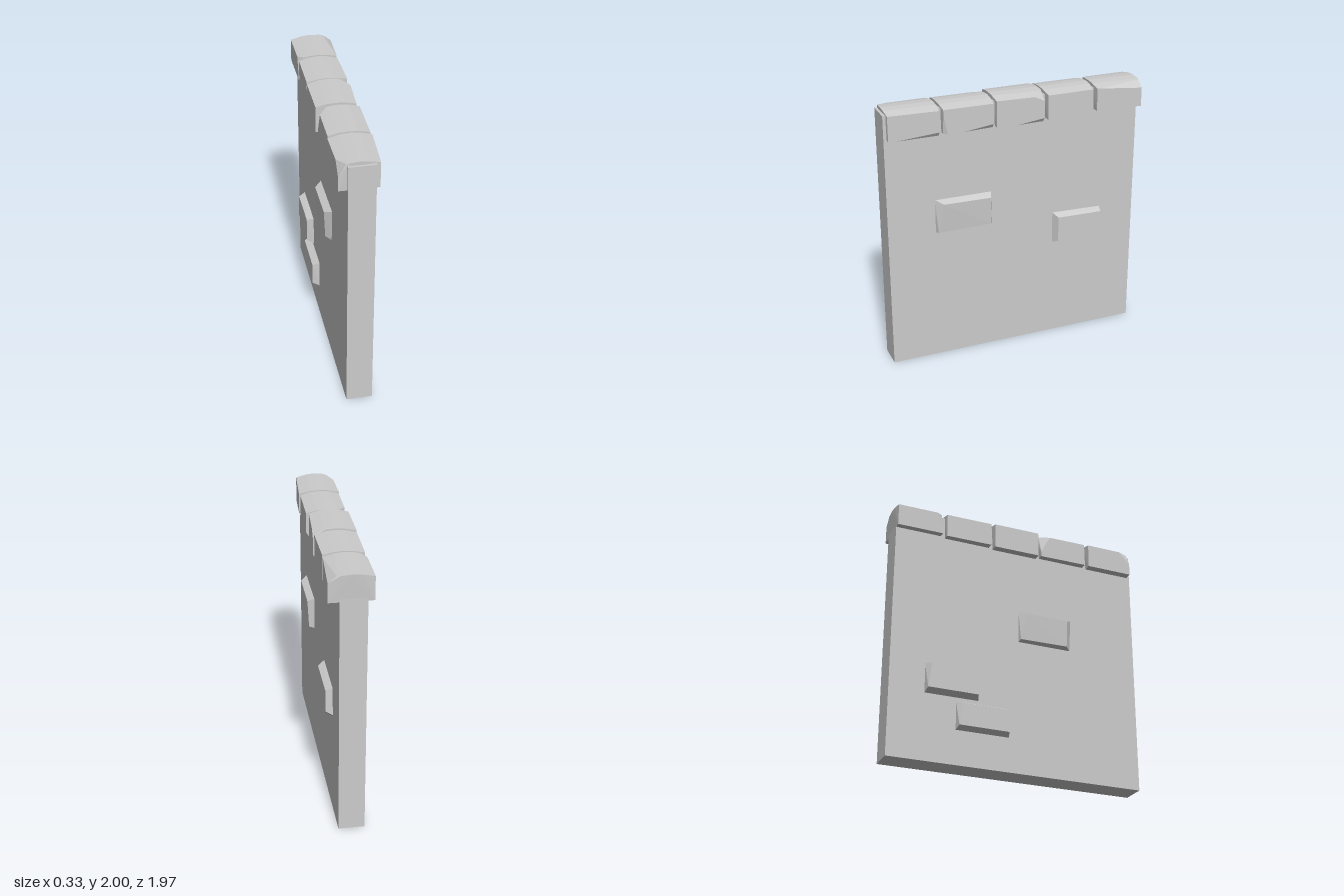
import * as THREE from 'three';
import { ConvexGeometry } from 'three/addons/geometries/ConvexGeometry.js';

const material = new THREE.MeshStandardMaterial({ color: 0xcccccc, flatShading: true });

function hullMesh(name, points) {
  const mesh = new THREE.Mesh(new ConvexGeometry(points), material);
  mesh.name = name;
  return mesh;
}

// Coping stone: a block with a gently arched top; chipped corners are replaced
// by three points, one along each edge. z, left and right are [back, front] values.
function copingStone({ z, left, right, bottom, top, chips = [] }) {
  const points = [];
  [0, 1].forEach((end) => {
    const sz = end ? 1 : -1;
    const mid = (left[end] + right[end]) / 2;
    const half = (right[end] - left[end]) / 2;
    const arch = (x) => top - 0.024 * ((x - mid) / half) ** 2;
    for (const t of [-0.45, 0, 0.45]) {
      const x = mid + half * t;
      points.push(new THREE.Vector3(x, arch(x), z[end] + sz * 0.008 * (1 - t * t)));
    }
    for (const sx of [-1, 1]) for (const sy of [-1, 1]) {
      const x = mid + sx * half;
      const y = sy > 0 ? arch(x) : bottom;
      const chip = chips.find((c) => c.at[0] === sx && c.at[1] === sy && c.at[2] === sz);
      if (!chip) {
        points.push(new THREE.Vector3(x, y, z[end]));
        continue;
      }
      const [dx, dy, dz] = chip.size;
      const xi = x - sx * dx;
      const other = sx < 0 ? left : right;
      const xz = x + (other[1 - end] - other[end]) * dz / (z[1] - z[0]);
      points.push(
        new THREE.Vector3(xi, sy > 0 ? arch(xi) : y, z[end]),
        new THREE.Vector3(x, y - sy * dy, z[end]),
        new THREE.Vector3(xz, y, z[end] - sz * dz)
      );
    }
  });
  return hullMesh('copingStone', points);
}

// Raised brick: tapers from an outline on the wall to a smaller outer face.
// Outlines are [z, y] corners; the outer ones carry their own x.
function raisedBrick(wallX, base, outer) {
  return hullMesh('raisedBrick', [
    ...base.map(([z, y]) => new THREE.Vector3(wallX, y, z)),
    ...outer.map(([z, y, x]) => new THREE.Vector3(x, y, z)),
  ]);
}

export function createModel() {
  const model = new THREE.Group();
  model.name = 'wallSection';

  // Main slab
  const wall = new THREE.Mesh(new THREE.BoxGeometry(0.19, 1.967, 1.96), material);
  wall.name = 'wall';
  wall.position.set(-0.01, 0.9835, 0.005);
  model.add(wall);

  // Row of coping stones along the top
  const coping = new THREE.Group();
  coping.name = 'coping';
  const stones = [
    { z: [0.595, 0.96], left: [-0.165, -0.165], right: [0.14, 0.115], bottom: 1.782, top: 1.993,
      chips: [{ at: [-1, 1, 1], size: [0.05, 0.09, 0.09] }, { at: [1, -1, -1], size: [0.02, 0.03, 0.3] }] },
    { z: [0.19, 0.562], left: [-0.152, -0.158], right: [0.142, 0.135], bottom: 1.788, top: 1.993,
      chips: [{ at: [-1, 1, -1], size: [0.05, 0.14, 0.075] }, { at: [1, -1, 1], size: [0.02, 0.14, 0.03] },
        { at: [1, -1, -1], size: [0.02, 0.03, 0.22] }] },
    { z: [-0.2, 0.16], left: [-0.162, -0.165], right: [0.148, 0.125], bottom: 1.78, top: 2,
      chips: [{ at: [1, 1, -1], size: [0.065, 0.035, 0.075] }, { at: [1, -1, -1], size: [0.02, 0.03, 0.2] }] },
    { z: [-0.588, -0.232], left: [-0.152, -0.157], right: [0.14, 0.142], bottom: 1.79, top: 1.997 },
    { z: [-0.974, -0.622], left: [-0.15, -0.152], right: [0.163, 0.142], bottom: 1.803, top: 1.998,
      chips: [{ at: [1, 1, -1], size: [0.06, 0.03, 0.34] }, { at: [-1, 1, 1], size: [0.04, 0.12, 0.045] }] },
  ];
  stones.forEach((stone) => coping.add(copingStone(stone)));
  model.add(coping);

  // Bricks standing out from both faces
  const bricks = new THREE.Group();
  bricks.name = 'bricks';
  const leftX = 0.08, rightX = -0.1;
  bricks.add(
    raisedBrick(leftX,
      [[0.627, 1.28], [0.192, 1.278], [0.186, 1.03], [0.627, 1.022]],
      [[0.575, 1.255, 0.135], [0.215, 1.248, 0.135], [0.205, 1.036, 0.125], [0.613, 1.03, 0.118]]),
    raisedBrick(leftX,
      [[-0.3, 1.02], [-0.695, 1.008], [-0.71, 0.79], [-0.685, 0.768], [-0.3, 0.768]],
      [[-0.332, 0.99, 0.135], [-0.685, 0.983, 0.135], [-0.698, 0.82, 0.135],
        [-0.67, 0.796, 0.135], [-0.332, 0.796, 0.135]]),
    raisedBrick(rightX,
      [[0.017, 1.292], [0.455, 1.292], [0.44, 1.035], [0.012, 1.035]],
      [[0.06, 1.262, -0.155], [0.4, 1.262, -0.155], [0.395, 1.05, -0.145], [0.02, 1.045, -0.142]]),
    raisedBrick(rightX,
      [[-0.71, 0.738], [-0.306, 0.738], [-0.3, 0.505], [-0.71, 0.505]],
      [[-0.675, 0.722, -0.158], [-0.318, 0.728, -0.158], [-0.318, 0.535, -0.158], [-0.7, 0.535, -0.158]]),
    raisedBrick(rightX,
      [[-0.47, 0.482], [-0.065, 0.482], [-0.06, 0.26], [-0.47, 0.26]],
      [[-0.43, 0.455, -0.158], [-0.08, 0.455, -0.158], [-0.08, 0.285, -0.158], [-0.46, 0.285, -0.158]])
  );
  model.add(bricks);

  return model;
}
